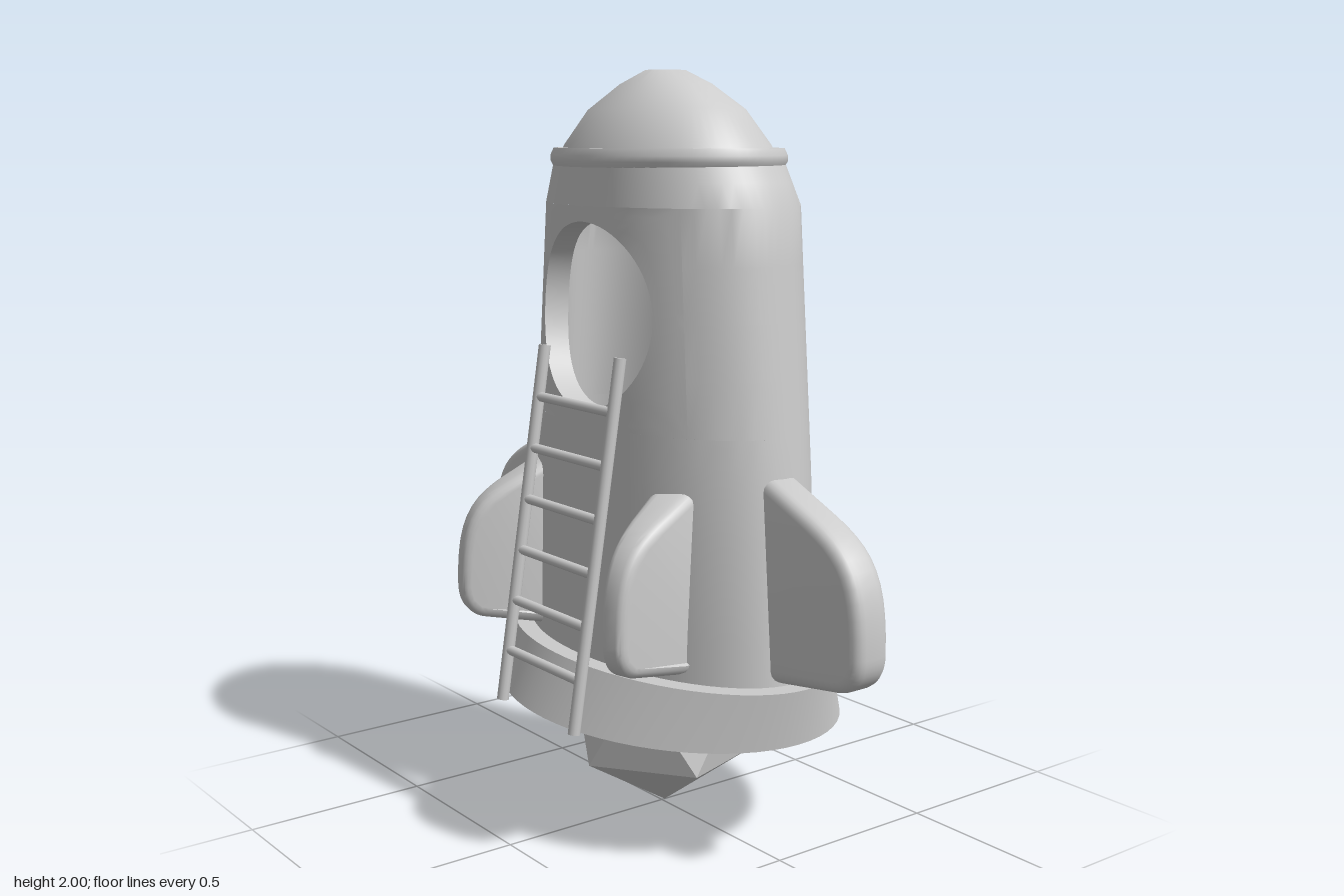
import * as THREE from 'three';
import { mergeGeometries, toCreasedNormals } from 'three/addons/utils/BufferGeometryUtils.js';

const grey = new THREE.MeshStandardMaterial({ color: 0xcccccc });
const twoSided = new THREE.MeshStandardMaterial({ color: 0xcccccc, side: THREE.DoubleSide });
const flat = new THREE.MeshStandardMaterial({ color: 0xcccccc, flatShading: true });
const { lerp } = THREE.MathUtils;

function add(parent, name, geometry, material = grey) {
  const mesh = new THREE.Mesh(geometry, material);
  mesh.name = name;
  parent.add(mesh);
  return mesh;
}

// Grid of quads over fn(u, v), u and v from 0 to 1
function patch(fn, nu, nv) {
  const pos = [], index = [];
  for (let j = 0; j <= nv; j++)
    for (let i = 0; i <= nu; i++) pos.push(...fn(i / nu, j / nv));
  for (let j = 0; j < nv; j++)
    for (let i = 0; i < nu; i++) {
      const a = j * (nu + 1) + i, d = a + nu + 1;
      index.push(a, a + 1, d + 1, a, d + 1, d);
    }
  const g = new THREE.BufferGeometry();
  g.setAttribute('position', new THREE.Float32BufferAttribute(pos, 3));
  g.setIndex(index);
  return g;
}

// Elliptical rings stacked along a profile of [y, half width x, half depth z]
function loft(rows, cx, crease) {
  const g = patch((u, v) => {
    const [y, a, b] = rows[Math.round(v * (rows.length - 1))];
    const t = u === 1 ? 0 : u * Math.PI * 2;
    return [cx - a * Math.cos(t), y, b * Math.sin(t)];
  }, 64, rows.length - 1);
  return toCreasedNormals(g, crease);
}

// Hull section at height y: [centre x, half width, half depth]
const sections = [[0.45, 0.02, 0.285, 0.522], [1.0, 0.021, 0.284, 0.478], [1.66, 0.026, 0.279, 0.41], [1.78, 0.015, 0.262, 0.35]];
function section(y) {
  let i = 0;
  while (i < sections.length - 2 && y > sections[i + 1][0]) i++;
  const p = sections[i], q = sections[i + 1], t = (y - p[0]) / (q[0] - p[0]);
  return [1, 2, 3].map(k => lerp(p[k], q[k], t));
}

function hullPoint(phi, y, inset) {
  const [cx, a, b] = section(y);
  return [cx - (a - inset) * Math.cos(phi), y, (b - inset) * Math.sin(phi)];
}

// Thick hull wall with a round doorway on the -x side
function hullGeometry() {
  const wall = 0.07, doorY = 1.38, doorR = 0.24, halfH = 0.28, phi0 = 0.8;
  const low = doorY - halfH, high = doorY + halfH;
  const doorway = (u, t, inset) => {
    const th = -u * Math.PI * 2, c = Math.cos(th), s = Math.sin(th);
    const k = 1 / Math.max(Math.abs(c), Math.abs(s));
    const y = doorY + doorR * s;
    const phi = Math.asin(doorR * c / (section(y)[2] - inset));
    return hullPoint(lerp(phi, phi0 * c * k, t), lerp(y, doorY + halfH * s * k, t), inset);
  };
  const parts = [patch((u, v) => doorway(u, 0, wall * (1 - v)), 64, 1)];
  for (const inset of [0, wall]) {
    const inner = inset > 0;
    const area = (p0, p1, y0, y1, nu, nv) => parts.push(patch((u, v) =>
      hullPoint(lerp(p0, p1, inner ? 1 - u : u), lerp(y0, y1, v), inset), nu, nv));
    area(-Math.PI, Math.PI, 0.45, 1.0, 64, 4);
    area(-Math.PI, Math.PI, 1.0, low, 64, 1);
    area(phi0, Math.PI * 2 - phi0, low, high, 48, 4);
    area(-Math.PI, Math.PI, high, 1.78, 64, 2);
    parts.push(patch((u, v) => doorway(u, inner ? 1 - v : v, inset), 64, 4));
  }
  return toCreasedNormals(mergeGeometries(parts), 0.6);
}

// Rounded fin growing along +x from its root at x = 0
function finGeometry(rootScale, tipScale) {
  const s = new THREE.Shape();
  s.moveTo(-0.12, 0.51);
  s.lineTo(0.02, 0.52);
  s.lineTo(0.22, 0.55);
  s.quadraticCurveTo(0.28, 0.56, 0.28, 0.62);
  s.bezierCurveTo(0.28, 0.8, 0.24, 0.85, 0.12, 0.905);
  s.lineTo(-0.03, 0.97);
  s.lineTo(-0.12, 0.97);
  const g = new THREE.ExtrudeGeometry(s, {
    depth: 0.05, bevelEnabled: true, bevelSize: 0.03, bevelThickness: 0.03, bevelSegments: 4, curveSegments: 10
  });
  g.translate(0, 0, -0.025);
  // Taper the thickness towards the tip
  const p = g.attributes.position;
  for (let i = 0; i < p.count; i++)
    p.setZ(i, p.getZ(i) * lerp(rootScale, tipScale, Math.max(0, p.getX(i) / 0.31)));
  return toCreasedNormals(g, 0.6);
}

function rod(parent, name, from, to, radius) {
  const m = add(parent, name, new THREE.CylinderGeometry(radius, radius, from.distanceTo(to), 12));
  m.position.lerpVectors(from, to, 0.5);
  m.quaternion.setFromUnitVectors(new THREE.Vector3(0, 1, 0), to.clone().sub(from).normalize());
}

export function createModel() {
  const model = new THREE.Group();
  model.name = 'rocket';

  // Hull and its floor
  add(model, 'hull', hullGeometry());
  add(model, 'hullFloor', loft([[0.45, 0.32, 0.53], [0.45, 0, 0]], 0.015, 0.5), twoSided);

  // Nose dome and collar
  add(model, 'noseDome', loft([
    [1.77, 0.245, 0.345], [1.81, 0.232, 0.325], [1.9, 0.178, 0.245], [1.965, 0.11, 0.135], [2.0, 0.055, 0.05], [2.0, 0, 0]
  ], 0.012, 0.9));
  add(model, 'noseCollar', loft([
    [1.75, 0.22, 0.32], [1.753, 0.262, 0.355], [1.77, 0.27, 0.366], [1.785, 0.27, 0.366],
    [1.803, 0.262, 0.357], [1.803, 0.22, 0.32]
  ], 0.015, 0.6));

  // Flared skirt, hollow underneath
  add(model, 'skirt', loft([
    [0.33, 0.405, 0.55], [0.48, 0.33, 0.572], [0.48, 0.26, 0.48], [0.45, 0.28, 0.47],
    [0.33, 0.335, 0.465], [0.33, 0.405, 0.55]
  ], 0.015, 0.5));

  // Faceted engine standing on one corner
  const engine = new THREE.IcosahedronGeometry(0.287, 0);
  engine.rotateZ(-Math.atan(2 / (1 + Math.sqrt(5))));
  add(model, 'engine', engine, flat).position.set(0.01, 0.292, 0);

  // Front and back fins, then the two smaller fins beside the ladder
  const bigFin = finGeometry(1, 1), smallFin = finGeometry(1.2, 0.6);
  for (const side of [1, -1]) {
    const big = add(model, side > 0 ? 'frontFin' : 'backFin', bigFin);
    big.position.set(0.013, 0, 0.5 * side);
    big.rotation.y = -side * Math.PI / 2;
    const small = add(model, side > 0 ? 'sideFinFront' : 'sideFinBack', smallFin);
    small.position.set(-0.2, 0.05, 0.295 * side);
    small.rotation.y = Math.PI + 0.26 * side;
    small.scale.set(0.76, 0.92, 1);
  }

  // Ladder leaning on the doorway
  const ladder = new THREE.Group();
  ladder.name = 'ladder';
  model.add(ladder);
  const at = (t, z) => new THREE.Vector3(lerp(-0.41, -0.26, t), lerp(0.34, 1.29, t), z);
  for (const z of [-0.17, 0.17]) rod(ladder, 'ladderRail', at(0, z), at(1, z), 0.016);
  for (let i = 1; i <= 6; i++) rod(ladder, 'ladderRung', at(i / 7, -0.17), at(i / 7, 0.17), 0.013);

  return model;
}
